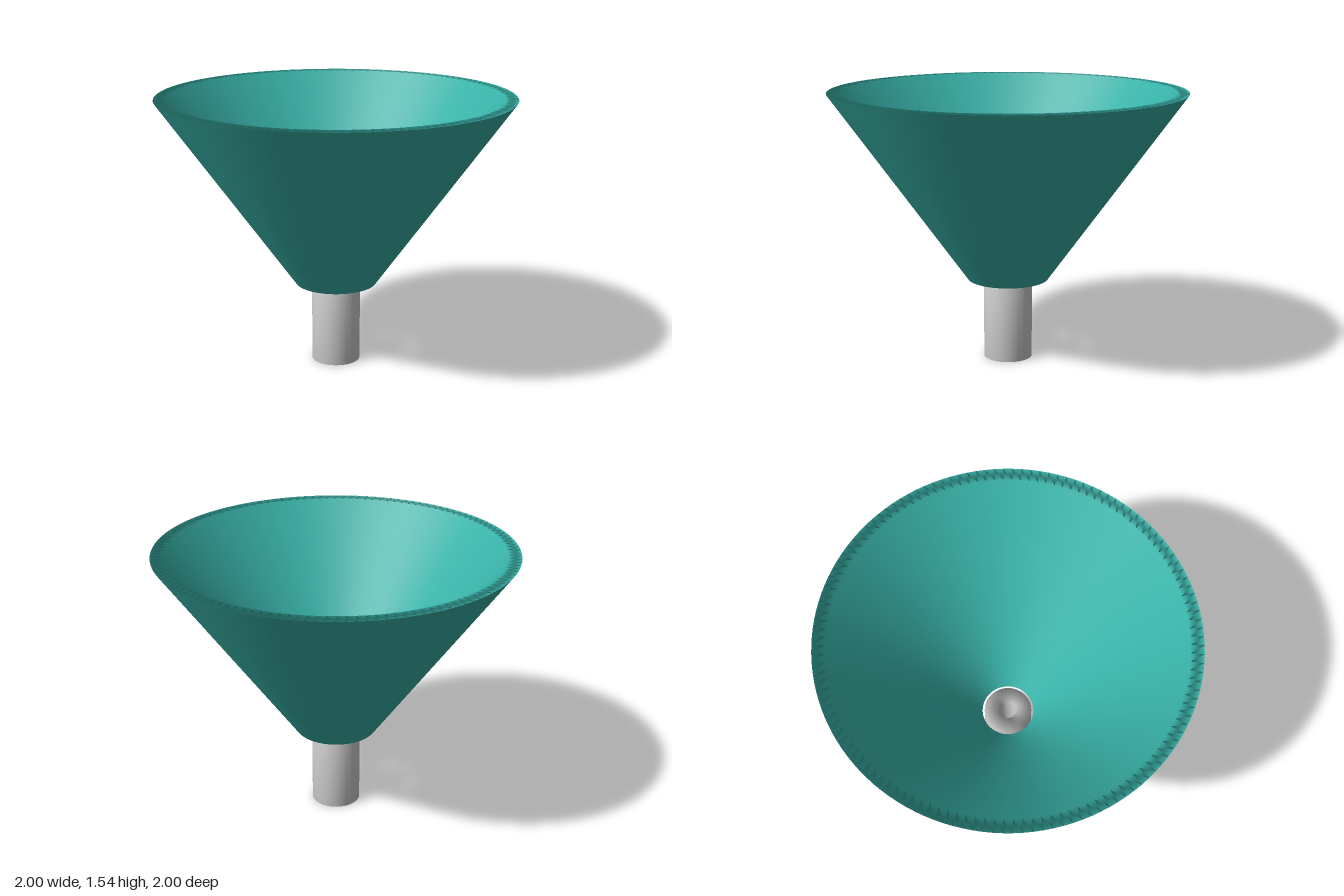
import * as THREE from 'three';

// Thick-walled ring of revolution. The profile starts and ends in the middle
// of the flat underside so that all four corners get blended smooth normals.
function ring(name, color, [bottomIn, bottomOut, topOut, topIn], yBottom, yTop) {
  const mid = (bottomIn + bottomOut) / 2;
  const profile = [
    [mid, yBottom], [bottomOut, yBottom], [topOut, yTop],
    [topIn, yTop], [bottomIn, yBottom], [mid, yBottom],
  ].map(([r, y]) => new THREE.Vector2(r, y));
  const mesh = new THREE.Mesh(
    new THREE.LatheGeometry(profile, 128),
    new THREE.MeshStandardMaterial({ color, side: THREE.DoubleSide }),
  );
  mesh.name = name;
  return mesh;
}

export function createModel() {
  const group = new THREE.Group();
  group.name = 'funnel';

  // Wide conical bowl, open at both ends
  group.add(ring('bowl', 0x38b2a8, [0.15, 0.23, 1, 0.93], 0.465, 1.54));

  // Straight spout with a narrow bore, slightly slimmer than the bowl's opening
  group.add(ring('spout', 0xcccccc, [0.05, 0.138, 0.138, 0.05], 0, 0.47));

  return group;
}
